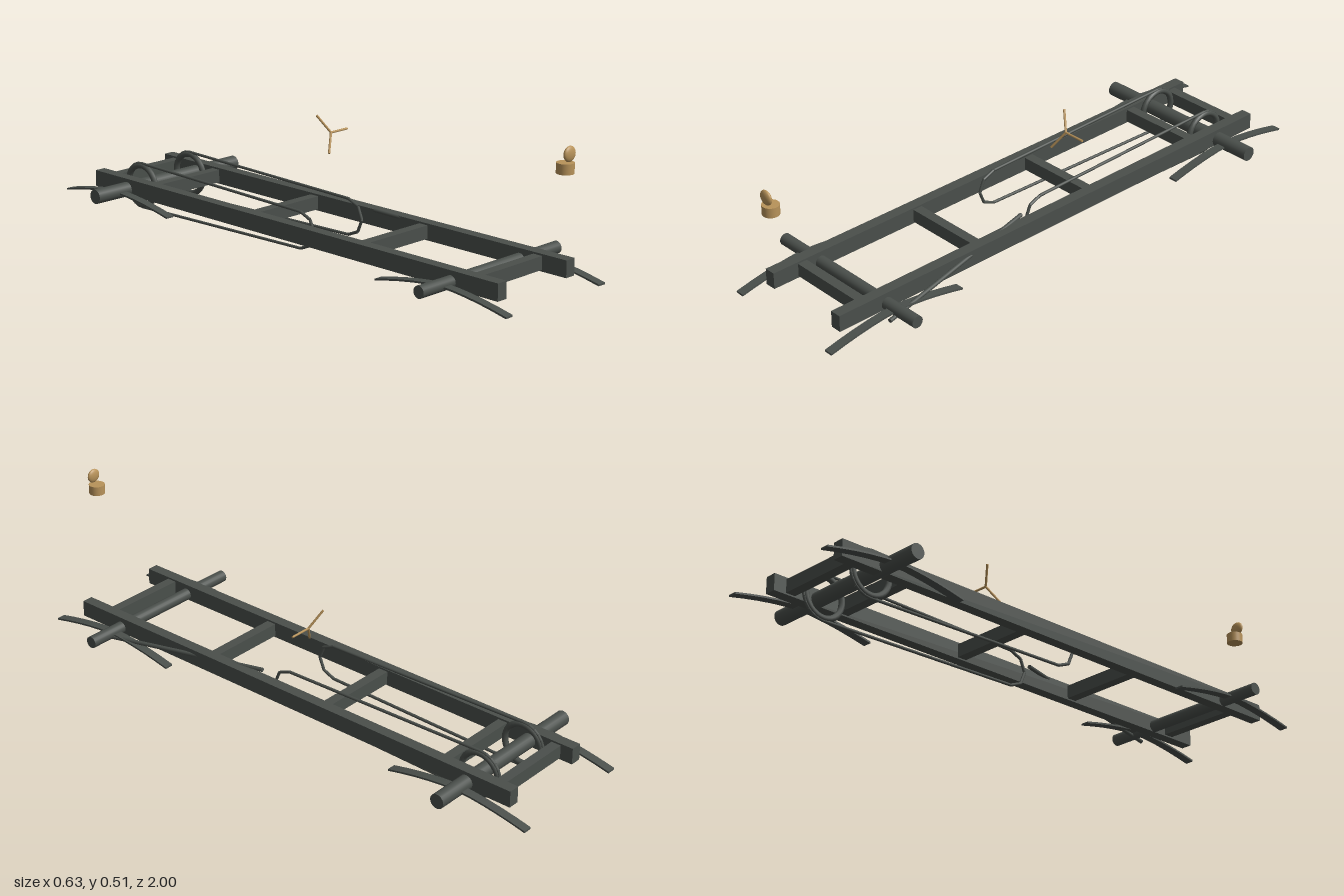
import * as THREE from 'three';

const iron = new THREE.MeshStandardMaterial({ color: 0x4a4f4b });
iron.name = 'dark iron';
const brass = new THREE.MeshStandardMaterial({ color: 0xb8935a });
brass.name = 'brass';

const V = (x, y, z) => new THREE.Vector3(x, y, z);

function add(parent, name, geometry, material, x = 0, y = 0, z = 0) {
  const mesh = new THREE.Mesh(geometry, material);
  mesh.name = name;
  mesh.position.set(x, y, z);
  parent.add(mesh);
  return mesh;
}

// Round rod between two points
function rod(parent, name, a, b, radius, material, sides = 10) {
  const d = b.clone().sub(a);
  const mid = a.clone().add(b).multiplyScalar(0.5);
  const mesh = add(parent, name, new THREE.CylinderGeometry(radius, radius, d.length(), sides), material, mid.x, mid.y, mid.z);
  mesh.quaternion.setFromUnitVectors(V(0, 1, 0), d.normalize());
  return mesh;
}

// Arched strip with its crown at the origin, running along z
function springGeometry(half, drop, thick, width) {
  const n = 10;
  const upper = [], lower = [];
  for (let i = 0; i <= n; i++) {
    const u = (i / n) * 2 - 1;
    const y = -drop * Math.pow(Math.abs(u), 1.6);
    upper.push(new THREE.Vector2(u * half, y));
    lower.unshift(new THREE.Vector2(u * half, y - thick));
  }
  const g = new THREE.ExtrudeGeometry(new THREE.Shape([...upper, ...lower]), { depth: width, bevelEnabled: false });
  g.translate(0, 0, -width / 2);
  g.rotateY(-Math.PI / 2);
  return g;
}

export function createModel() {
  const model = new THREE.Group();
  model.name = 'chassis';
  const axleY = 0.087, frontZ = 0.7, rearZ = -0.745;

  // Ladder frame
  const frame = new THREE.Group();
  frame.name = 'frame';
  model.add(frame);
  for (const s of [-1, 1]) {
    add(frame, 'sideRail', new THREE.BoxGeometry(0.038, 0.055, 1.787), iron, s * 0.156, 0.0945, -0.0135);
  }
  for (const z of [0.77, 0.31, -0.17, -0.645, -0.846]) {
    add(frame, 'crossMember', new THREE.BoxGeometry(0.29, 0.044, 0.034), iron, 0, 0.094, z);
  }

  // Axles
  rod(model, 'frontAxle', V(-0.314, axleY, frontZ), V(0.314, axleY, frontZ), 0.02, iron, 20);
  rod(model, 'rearAxle', V(-0.314, axleY, rearZ), V(0.314, axleY, rearZ), 0.0245, iron, 20);

  // Leaf springs
  const spring = springGeometry(0.255, 0.037, 0.006, 0.03);
  for (const s of [-1, 1]) {
    for (const z of [frontZ, rearZ]) add(model, 'leafSpring', spring, iron, s * 0.212, 0.088, z);
  }

  // Sprocket rings and drive chains
  const chainPath = [];
  for (let i = 0; i <= 4; i++) {
    const a = Math.PI / 2 - (i / 4) * Math.PI;
    chainPath.push([0.012 + 0.06 * Math.cos(a), axleY + 0.06 * Math.sin(a)]);
  }
  for (let i = 0; i <= 12; i++) {
    const a = -Math.PI / 2 - (i / 12) * Math.PI;
    chainPath.push([rearZ + 0.076 * Math.cos(a), axleY + 0.076 * Math.sin(a)]);
  }
  for (const s of [-1, 1]) {
    const x = s * 0.108;
    const drive = new THREE.Group();
    drive.name = 'chainDrive';
    model.add(drive);
    const ring = add(drive, 'sprocketRing', new THREE.TorusGeometry(0.068, 0.01, 8, 32), iron, x, axleY, rearZ);
    ring.rotation.y = Math.PI / 2;
    chainPath.forEach(([z, y], i) => {
      const [z2, y2] = chainPath[(i + 1) % chainPath.length];
      rod(drive, 'chainRun', V(x, y, z), V(x, y2, z2), 0.005, iron, 8);
    });
  }

  // Steering link
  rod(model, 'steeringLink', V(0.126, 0.125, 0.11), V(0.235, 0.071, 0.74), 0.007, iron);

  // Steering wheel spokes, tilted back
  const spokes = new THREE.Group();
  spokes.name = 'steeringSpokes';
  spokes.position.set(0.125, 0.345, -0.083);
  spokes.rotation.x = -0.45;
  model.add(spokes);
  for (let i = 0; i < 3; i++) {
    const a = (i * 2 * Math.PI) / 3;
    rod(spokes, 'spoke', V(0, 0, 0), V(0.074 * Math.cos(a), 0.074 * Math.sin(a), 0), 0.0038, brass, 8);
  }

  // Radiator cap and its round ornament
  add(model, 'radiatorCap', new THREE.CylinderGeometry(0.027, 0.027, 0.032, 24), brass, 0, 0.449, 0.973);
  const disc = add(model, 'capDisc', new THREE.SphereGeometry(0.025, 24, 16), brass, 0, 0.492, 0.987);
  disc.scale.set(1, 0.95, 0.4);

  return model;
}
